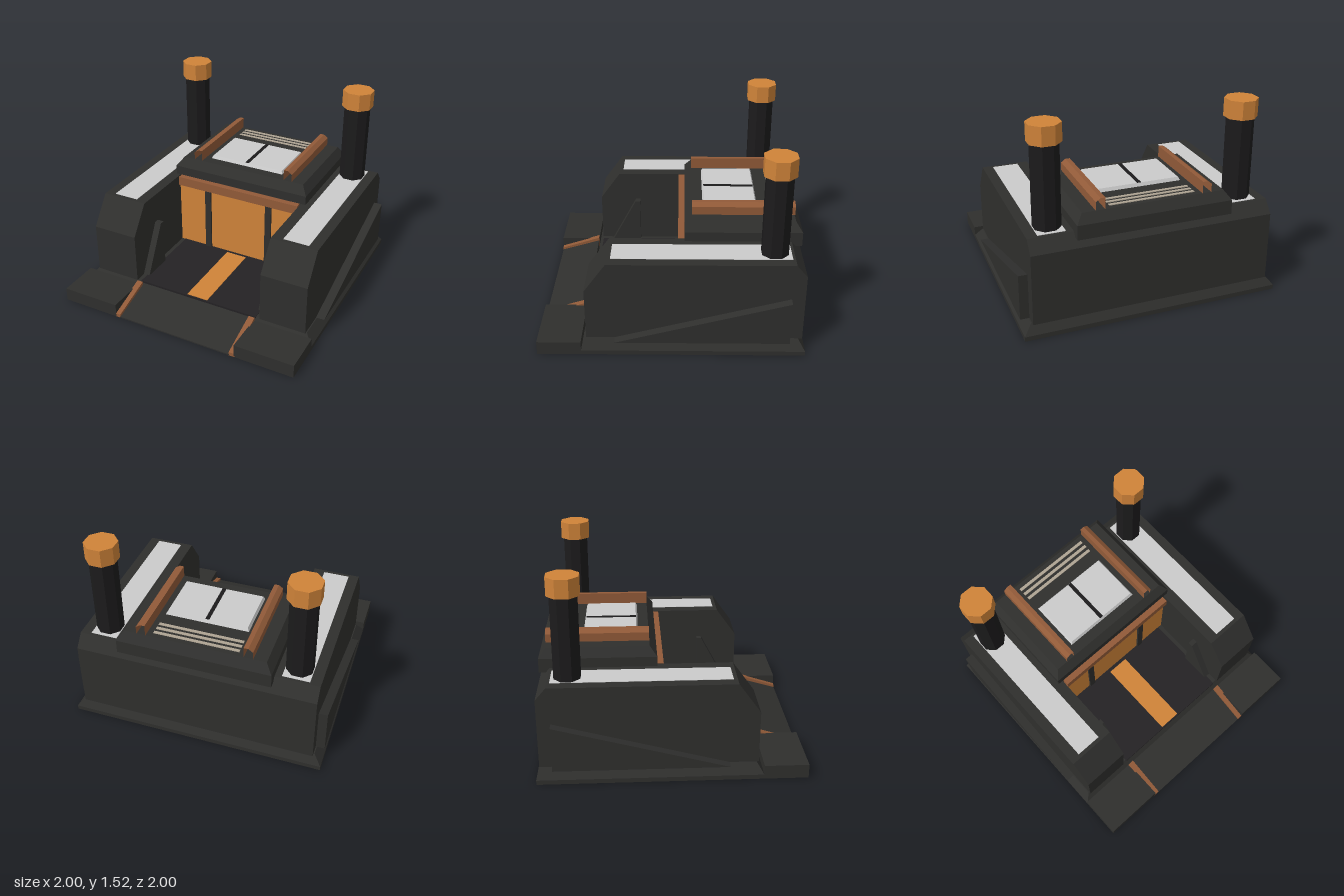
import * as THREE from 'three';

const mat = (color, side = THREE.FrontSide) =>
  new THREE.MeshStandardMaterial({ color, flatShading: true, side });

export function createModel() {
  const model = new THREE.Group();
  const stone = mat(0x2f2f2d), floorDark = mat(0x242224), black = mat(0x1c1b1c);
  const orange = mat(0xcf8339), brown = mat(0x915a38), railBrown = mat(0x915a38, THREE.DoubleSide);
  const grey = mat(0xcccccc), beige = mat(0xaea392);

  const add = (name, geometry, material) => {
    const mesh = new THREE.Mesh(geometry, material);
    mesh.name = name;
    model.add(mesh);
    return mesh;
  };

  // Box given by its extents
  const box = (name, material, x0, x1, y0, y1, z0, z1) =>
    add(name, new THREE.BoxGeometry(x1 - x0, y1 - y0, z1 - z0), material)
      .position.set((x0 + x1) / 2, (y0 + y1) / 2, (z0 + z1) / 2);

  // Side profile of [z, y] points, swept from x0 to x1
  const slab = (name, material, profile, x0, x1) => {
    const shape = new THREE.Shape(profile.map(([z, y]) => new THREE.Vector2(z, y)));
    const geo = new THREE.ExtrudeGeometry(shape, { depth: x1 - x0, bevelEnabled: false });
    add(name, geo.rotateY(-Math.PI / 2).translate(x1, 0, 0), material);
  };

  // The same slab on both sides, x0 < x1 measured outward
  const slabPair = (name, material, profile, x0, x1) => {
    slab(name + 'Left', material, profile, x0, x1);
    slab(name + 'Right', material, profile, -x1, -x0);
  };

  // Stack of rectangles [y, halfWidth, zBack, zFront] joined into a closed solid
  const stack = (name, material, levels) => {
    const rings = levels.map(([y, w, b, f]) => [[-w, y, f], [w, y, f], [w, y, b], [-w, y, b]]);
    const pos = [];
    const quad = (a, b, c, d) => pos.push(...a, ...b, ...c, ...a, ...c, ...d);
    for (let i = 0; i + 1 < rings.length; i++) {
      for (let j = 0; j < 4; j++) {
        const k = (j + 1) % 4;
        quad(rings[i][j], rings[i][k], rings[i + 1][k], rings[i + 1][j]);
      }
    }
    const top = rings[rings.length - 1], low = rings[0];
    quad(top[0], top[1], top[2], top[3]);
    quad(low[3], low[2], low[1], low[0]);
    const geo = new THREE.BufferGeometry();
    geo.setAttribute('position', new THREE.Float32BufferAttribute(pos, 3));
    geo.computeVertexNormals();
    add(name, geo, material);
  };

  // Plinth, front apron and entry ramp
  stack('plinth', stone, [[0, 1, -1, 0.67], [0.035, 1, -1, 0.67], [0.108, 0.94, -0.95, 0.62]]);
  box('floor', floorDark, -0.52, 0.52, 0.08, 0.111, -0.1, 0.63);
  box('floorStripe', orange, -0.09, 0.09, 0.09, 0.116, -0.06, 0.62);
  slabPair('apron', stone, [[0.67, 0], [1, 0], [1, 0.108], [0.67, 0.108]], 0.52, 1);
  slab('ramp', stone, [[0.67, 0], [1, 0], [1, 0.01], [0.67, 0.108]], -0.485, 0.485);
  slabPair('rampEdge', brown, [[0.67, 0], [1, 0], [1, 0.03], [0.67, 0.135]], 0.48, 0.53);

  // Side wings with sloped fronts
  slabPair('wing', stone, [[0.635, 0.108], [0.635, 0.515], [0.47, 0.745],
    [-0.9, 0.745], [-0.98, 0.65], [-0.98, 0.108]], 0.555, 0.932);
  slabPair('outerButtress', stone, [[0.42, 0.108], [-0.88, 0.46], [-0.88, 0.108]], 0.92, 1);
  slabPair('innerButtress', stone, [[0.54, 0.108], [0.33, 0.5], [0.29, 0.5], [0.29, 0.108]], 0.5, 0.56);

  // Rear hall between the wings
  slab('hall', stone, [[-0.11, 0.108], [-0.11, 0.745], [-0.9, 0.745],
    [-0.98, 0.65], [-0.98, 0.108]], -0.555, 0.555);
  box('door', orange, -0.555, 0.555, 0.108, 0.68, -0.12, -0.09);
  box('lintel', brown, -0.545, 0.545, 0.67, 0.745, -0.12, -0.05);

  // Roof with bevelled rim
  stack('roof', stone, [[0.71, 0.595, -0.98, -0.1], [0.82, 0.595, -0.98, -0.1],
    [0.89, 0.545, -0.93, -0.155]]);
  stack('skylight', grey, [[0.885, 0.33, -0.66, -0.235], [0.915, 0.315, -0.645, -0.25]]);
  box('skylightBar', black, -0.015, 0.015, 0.9, 0.918, -0.645, -0.25);
  for (let i = 0; i < 3; i++) {
    const z = -0.878 + i * 0.05;
    box('ventSlat', beige, -0.33, 0.33, 0.88, 0.895, z - 0.0125, z + 0.0125);
  }

  // Open-ended roof rail: a folded strip running front to back
  const railSection = [[0.375, 0.89], [0.375, 0.98], [0.41, 0.98], [0.445, 0.955], [0.445, 0.89]];
  const rail = (name, s) => {
    const pos = [];
    for (let i = 0; i + 1 < railSection.length; i++) {
      const [ax, ay] = railSection[i], [bx, by] = railSection[i + 1];
      const a = [s * ax, ay, -0.155], b = [s * bx, by, -0.155];
      const c = [s * bx, by, -0.935], d = [s * ax, ay, -0.935];
      pos.push(...(s > 0 ? [a, b, c, a, c, d] : [a, c, b, a, d, c]).flat());
    }
    const geo = new THREE.BufferGeometry();
    geo.setAttribute('position', new THREE.Float32BufferAttribute(pos, 3));
    geo.computeVertexNormals();
    add(name, geo, railBrown);
  };

  // Octagonal prism with flat sides facing the axes
  const octagon = (name, material, x, apothem, y0, y1) => {
    const r = apothem / Math.cos(Math.PI / 8);
    const geo = new THREE.CylinderGeometry(r, r, y1 - y0, 8).rotateY(Math.PI / 8);
    add(name, geo, material).position.set(x, (y0 + y1) / 2, -0.757);
  };

  // Mirrored details
  for (const s of [1, -1]) {
    const side = s > 0 ? 'Left' : 'Right';
    rail('roofRail' + side, s);
    box('doorPost' + side, stone, s * 0.28 - 0.027, s * 0.28 + 0.027, 0.108, 0.675, -0.11, -0.075);
    box('wingPanel' + side, grey, s * 0.748 - 0.103, s * 0.748 + 0.103, 0.73, 0.748, -0.88, 0.44);
    octagon('chimney' + side, black, s * 0.748, 0.097, 0.7, 1.39);
    octagon('chimneyCap' + side, orange, s * 0.748, 0.116, 1.38, 1.52);
  }
  return model;
}
